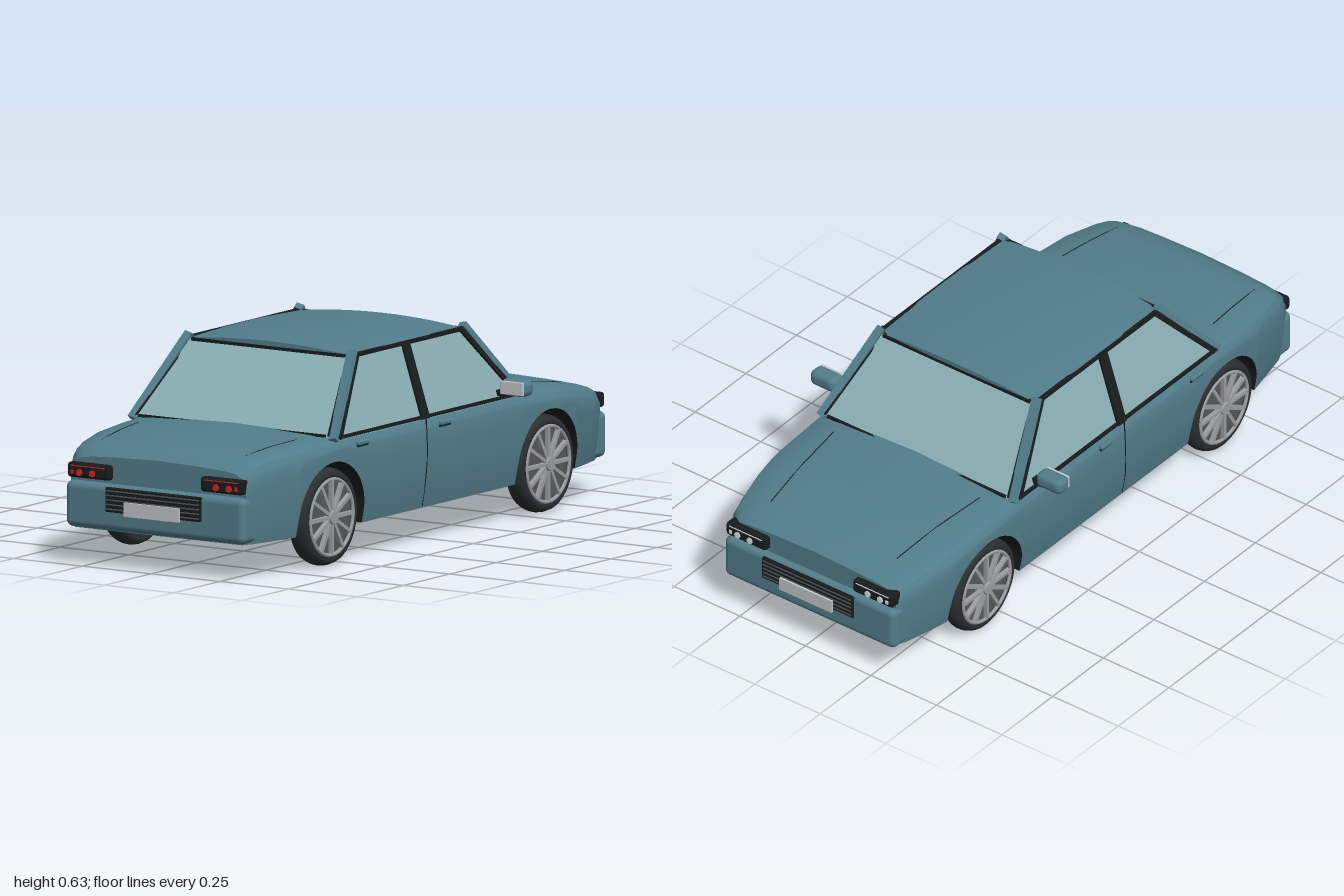
import * as THREE from 'three';
import { toCreasedNormals } from 'three/addons/utils/BufferGeometryUtils.js';
import { RoundedBoxGeometry } from 'three/addons/geometries/RoundedBoxGeometry.js';

const mat = (name, color, side = THREE.FrontSide) => {
  const m = new THREE.MeshStandardMaterial({ color, side });
  m.name = name;
  return m;
};
const V = (x, y, z) => new THREE.Vector3(x, y, z);

// Piecewise-linear lookup in a list of [key, value] pairs
function lerpTable(t, k) {
  if (k <= t[0][0]) return t[0][1];
  for (let i = 1; i < t.length; i++) {
    if (k <= t[i][0]) {
      const [a, va] = t[i - 1], [b, vb] = t[i];
      return va + (vb - va) * (k - a) / (b - a);
    }
  }
  return t[t.length - 1][1];
}

// Half width and top height along the car, and the bulge of its flanks
const WIDTH = [[-0.96, 0.315], [-0.92, 0.336], [-0.85, 0.354], [-0.75, 0.375], [-0.65, 0.385], [0.6, 0.387], [0.75, 0.376], [0.85, 0.354], [0.92, 0.337], [0.96, 0.318]];
const TOP = [[-0.96, 0.328], [-0.92, 0.347], [-0.85, 0.36], [-0.7, 0.384], [-0.45, 0.4], [0.56, 0.4], [0.75, 0.391], [0.87, 0.38], [0.92, 0.368], [0.96, 0.34]];
const FLANK = [[0.11, 0.955], [0.17, 0.985], [0.25, 1], [0.32, 0.998], [0.4, 0.985]];
const CROWN = [[0, 0], [0.45, 0.004], [0.75, 0.009], [0.88, 0.015], [0.96, 0.026], [0.985, 0.042]];
const sideX = (y, z) => lerpTable(WIDTH, z) * lerpTable(FLANK, y);
const topY = (x, z) => lerpTable(TOP, z) - lerpTable(CROWN, Math.abs(x) / lerpTable(WIDTH, z));

const FLOOR = 0.11, AXLES = [-0.59, 0.58], AXLE_Y = 0.15, ARCH = 0.17;

// Lofted body shell with the wheel arches cut into its lower edge
function shellGeometry() {
  const cols = [];
  for (const z of [-0.96, -0.94, -0.92, -0.88, -0.85, -0.8, -0.4, -0.2, 0, 0.2, 0.38, 0.77, 0.8, 0.85, 0.87, 0.9, 0.92, 0.94, 0.96]) cols.push([z, FLOOR]);
  for (const c of AXLES) {
    cols.push([c - ARCH - 1e-5, FLOOR], [c + ARCH + 1e-5, FLOOR]);
    for (let i = 0; i <= 20; i++) {
      const a = Math.PI * i / 20;
      cols.push([c - ARCH * Math.cos(a), AXLE_Y + ARCH * Math.sin(a)]);
    }
  }
  cols.sort((a, b) => a[0] - b[0]);
  const pos = [], skin = [], under = [];
  let M = 0;
  for (const [z, yb] of cols) {
    const w = lerpTable(WIDTH, z), ys = lerpTable(TOP, z) - 0.05;
    const half = [[0.27, yb]];
    for (let k = 0; k <= 5; k++) {
      const y = yb + (ys - yb) * k / 5;
      half.push([sideX(y, z), y]);
    }
    for (const f of [0.985, 0.96, 0.88, 0.75, 0.45]) half.push([f * w, topY(f * w, z)]);
    const ring = [...half, [0, topY(0, z)], ...half.slice().reverse().map(([x, y]) => [-x, y])];
    M = ring.length;
    for (const [x, y] of ring) pos.push(x, y, z);
  }
  for (let i = 0; i < cols.length - 1; i++) {
    for (let j = 0; j < M - 1; j++) {
      const a = i * M + j, b = a + 1, c = a + M, d = c + 1;
      (j === 0 || j === M - 2 ? under : skin).push(a, b, c, b, d, c);
    }
  }
  // end caps
  const last = (cols.length - 1) * M, hub = pos.length / 3;
  pos.push(0, 0.22, -0.96, 0, 0.22, 0.96);
  for (let j = 0; j < M; j++) {
    const n = (j + 1) % M;
    skin.push(hub, n, j, hub + 1, last + j, last + n);
  }
  const g = new THREE.BufferGeometry();
  g.setAttribute('position', new THREE.Float32BufferAttribute(pos, 3));
  g.setIndex([...skin, ...under]);
  g.addGroup(0, skin.length, 0);
  g.addGroup(skin.length, under.length, 1);
  return toCreasedNormals(g, 0.6);
}

export function createModel() {
  const body = mat('bodyPaint', 0x527d8b), glass = mat('glass', 0x8bb1b6, THREE.DoubleSide);
  const trim = mat('blackTrim', 0x191c1d, THREE.DoubleSide), rubber = mat('rubber', 0x2b2e2f);
  const silver = mat('silver', 0x9b9fa2), rimDark = mat('rimShade', 0x55595b);
  const plateMat = mat('plateGrey', 0xc3c5c9), red = mat('redLamp', 0xd8241f), white = mat('whiteLamp', 0xdde1e1);
  const car = new THREE.Group();
  car.name = 'car';
  const add = (parent, name, geo, m, x = 0, y = 0, z = 0) => {
    const mesh = new THREE.Mesh(geo, m);
    mesh.name = name;
    mesh.position.set(x, y, z);
    parent.add(mesh);
    return mesh;
  };
  const box = (parent, name, m, w, h, d, x, y, z) => add(parent, name, new THREE.BoxGeometry(w, h, d), m, x, y, z);
  const rbox = (parent, name, m, w, h, d, r, x, y, z) => add(parent, name, new RoundedBoxGeometry(w, h, d, 4, r), m, x, y, z);
  // Straight bar between two points, with a flattened square section
  const bar = (name, m, a, b, wx, wz) => {
    const mesh = box(car, name, m, wx, a.distanceTo(b), wz, 0, 0, 0);
    mesh.position.copy(a).add(b).multiplyScalar(0.5);
    mesh.quaternion.setFromUnitVectors(V(0, 1, 0), b.clone().sub(a).normalize());
  };
  const quad = (name, m, p) => {
    const g = new THREE.BufferGeometry().setFromPoints(p);
    g.setIndex([0, 1, 2, 0, 2, 3]);
    g.computeVertexNormals();
    add(car, name, g, m);
  };
  const seam = (name, pts) => add(car, name, new THREE.TubeGeometry(new THREE.CatmullRomCurve3(pts), 16, 0.002, 5), trim);

  // Body and floor
  add(car, 'bodyShell', shellGeometry(), [body, trim]);
  box(car, 'underbody', trim, 0.56, 0.2, 1.9, 0, FLOOR + 0.1, 0);

  // Crowned roof
  const roof = new THREE.BoxGeometry(0.594, 0.016, 0.62, 14, 1, 10);
  const rp = roof.attributes.position;
  for (let i = 0; i < rp.count; i++) {
    const u = rp.getX(i) / 0.297, v = rp.getZ(i) / 0.31;
    rp.setY(i, rp.getY(i) + 0.018 * (1 - u * u) - 0.007 * v * v);
    rp.setZ(i, rp.getZ(i) * (1 - 0.02 * u * u));
  }
  add(car, 'roof', toCreasedNormals(roof, 0.6), body, 0, 0.605, 0.055);

  // Windscreen and rear window: base z, roof z
  for (const [name, zb, zt] of [['rearWindow', 0.562, 0.362], ['windscreen', -0.452, -0.25]]) {
    const s = Math.sign(zb);
    quad(name, glass, [V(-0.36 * s, 0.388, zb), V(0.36 * s, 0.388, zb), V(0.287 * s, 0.606, zt), V(-0.287 * s, 0.606, zt)]);
    bar(name + 'TopTrim', trim, V(-0.28, 0.604, zt), V(0.28, 0.604, zt), 0.01, 0.012);
    bar(name + 'BaseTrim', trim, V(-0.34, 0.392, zb), V(0.34, 0.392, zb), 0.008, 0.008);
  }

  for (const s of [-1, 1]) {
    const side = s > 0 ? 'left' : 'right';
    // Side glass, pillars and trim
    quad(side + 'SideGlass', glass, [V(s * 0.372, 0.38, 0.54), V(s * 0.372, 0.38, -0.43), V(s * 0.298, 0.608, -0.245), V(s * 0.298, 0.608, 0.357)]);
    bar(side + 'CentrePillar', trim, V(s * 0.375, 0.38, 0.075), V(s * 0.3, 0.608, 0.075), 0.012, 0.038);
    bar(side + 'RoofRail', trim, V(s * 0.298, 0.606, -0.25), V(s * 0.298, 0.606, 0.36), 0.012, 0.012);
    bar(side + 'BeltTrim', trim, V(s * 0.373, 0.387, -0.43), V(s * 0.373, 0.387, 0.545), 0.009, 0.009);
    for (const [name, zb, zt] of [['RearPillar', 0.558, 0.352], ['FrontPillar', -0.45, -0.24]]) {
      const k = Math.sign(zb);
      bar(side + name, body, V(s * 0.366, 0.38, zb), V(s * 0.296, 0.619, zt), 0.026, 0.02);
      bar(side + name + 'Trim', trim, V(s * 0.374, 0.385, zb - k * 0.022), V(s * 0.301, 0.61, zt - k * 0.018), 0.01, 0.016);
      bar(side + name + 'InnerTrim', trim, V(s * 0.35, 0.39, zb), V(s * 0.281, 0.606, zt), 0.006, 0.012);
    }

    // Door seam, handles and lid seams
    seam(side + 'DoorSeam', [0.115, 0.2, 0.28, 0.35, 0.385].map((y) => V(s * sideX(y, 0.08), y, 0.08 + (y < 0.25 ? 0.004 : 0))));
    for (const z of [0.43, -0.015]) {
      rbox(car, side + 'DoorHandle', body, 0.014, 0.014, 0.058, 0.005, s * 0.388, 0.36, z);
      box(car, side + 'HandleShade', trim, 0.006, 0.006, 0.056, s * 0.386, 0.351, z);
    }
    const lidSeam = (name, x0, z0, x1, z1) => seam(name, [0, 0.25, 0.5, 0.75, 1].map((t) => {
      const x = x0 + (x1 - x0) * t, z = z0 + (z1 - z0) * t;
      return V(s * x, topY(x, z) - 0.0005, z);
    }));
    lidSeam(side + 'BootSeam', 0.287, 0.64, 0.262, 0.88);
    lidSeam(side + 'BonnetSeam', 0.278, -0.5, 0.24, -0.86);

    // Door mirror
    const mirror = new THREE.Group();
    mirror.name = side + 'Mirror';
    car.add(mirror);
    rbox(mirror, 'mirrorHousing', body, 0.096, 0.052, 0.056, 0.02, s * 0.431, 0.425, -0.338);
    rbox(mirror, 'mirrorGlass', plateMat, 0.084, 0.042, 0.008, 0.003, s * 0.431, 0.425, -0.311);
    box(mirror, 'mirrorArm', trim, 0.05, 0.018, 0.024, s * 0.375, 0.403, -0.338);

    // Wheels
    for (const z of AXLES) {
      const wheel = new THREE.Group();
      wheel.name = side + (z > 0 ? 'RearWheel' : 'FrontWheel');
      wheel.position.set(s * 0.343, AXLE_Y, z);
      wheel.rotation.z = -s * Math.PI / 2;
      car.add(wheel);
      const profile = [[0.116, -0.03], [0.13, -0.034], [0.142, -0.028], [0.148, -0.014], [0.15, 0], [0.148, 0.014], [0.142, 0.028], [0.13, 0.034], [0.116, 0.03], [0.116, -0.03]];
      add(wheel, 'tyre', new THREE.LatheGeometry(profile.map(([r, y]) => new THREE.Vector2(r, y)), 40), rubber);
      add(wheel, 'rimBack', new THREE.CylinderGeometry(0.117, 0.117, 0.044, 32), rimDark);
      add(wheel, 'innerRim', new THREE.CylinderGeometry(0.1, 0.1, 0.01, 32), silver, 0, -0.025, 0);
      const ring = add(wheel, 'rimRing', new THREE.TorusGeometry(0.116, 0.006, 8, 40), silver, 0, 0.031, 0);
      ring.rotation.x = Math.PI / 2;
      add(wheel, 'hub', new THREE.CylinderGeometry(0.02, 0.026, 0.022, 20), silver, 0, 0.032, 0);
      for (let i = 0; i < 12; i++) {
        const a = i * Math.PI / 6;
        const spoke = box(wheel, 'spoke', silver, 0.098, 0.014, 0.011, 0.066 * Math.cos(a), 0.03, -0.066 * Math.sin(a));
        spoke.rotation.y = a;
      }
    }
  }

  // Bumper, lamps, grille and number plate at each end
  for (const [name, turn, lamp] of [['rearEnd', 0, red], ['frontEnd', Math.PI, white]]) {
    const end = new THREE.Group();
    end.name = name;
    end.rotation.y = turn;
    car.add(end);
    rbox(end, 'bumper', body, 0.652, 0.142, 0.085, 0.022, 0, 0.184, 0.943);
    rbox(end, 'grille', trim, 0.348, 0.076, 0.012, 0.004, 0, 0.21, 0.985);
    for (let i = 0; i < 5; i++) box(end, 'grilleBar', rimDark, 0.336, 0.004, 0.004, 0, 0.182 + i * 0.014, 0.991);
    box(end, 'numberPlate', plateMat, 0.2, 0.043, 0.008, 0, 0.187, 0.996);
    for (const s of [-1, 1]) {
      rbox(end, 'lampHousing', trim, 0.153, 0.046, 0.045, 0.01, s * 0.242, 0.288, 0.96);
      for (const x of [0.225, 0.272]) {
        const disc = add(end, 'lamp', new THREE.CylinderGeometry(0.0105, 0.0105, 0.006, 20), lamp, s * x, 0.282, 0.983);
        disc.rotation.x = Math.PI / 2;
      }
      box(end, 'sideLamp', lamp, 0.01, 0.012, 0.004, s * 0.298, 0.283, 0.983);
      box(end, 'lampStrip', lamp, 0.125, 0.003, 0.004, s * 0.242, 0.302, 0.982);
    }
  }
  return car;
}
